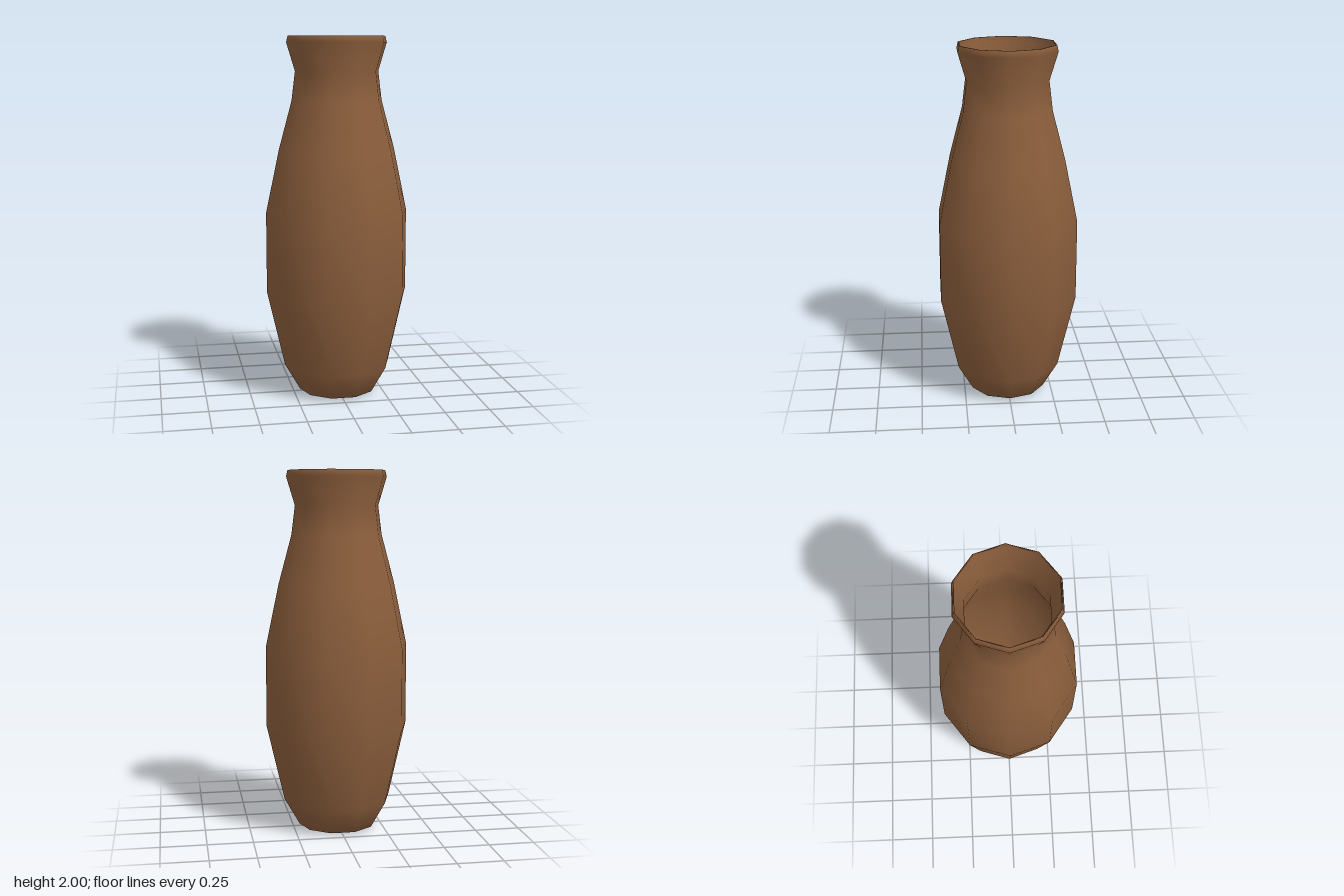
import * as THREE from 'three';

const SIDES = 10;

// Smooth ten-sided turning with a corner on the +x axis
function turned(name, points, material) {
  const profile = points.map(([r, y]) => new THREE.Vector2(r, y));
  const mesh = new THREE.Mesh(new THREE.LatheGeometry(profile, SIDES, Math.PI / 2), material);
  mesh.name = name;
  return mesh;
}

export function createModel() {
  const group = new THREE.Group();
  group.name = 'vase';
  const clay = new THREE.MeshStandardMaterial({ color: 0x8b5e3c });
  clay.name = 'brown clay';

  // Outer wall, from the underside up to the flared rim
  const outer = [
    [0, 0], [0.17, 0], [0.215, 0.012], [0.3, 0.16], [0.398, 0.585], [0.398, 1.035],
    [0.325, 1.38], [0.252, 1.65], [0.232, 1.81], [0.279, 1.965], [0.271, 2],
  ];
  // Flat lip, then the inner wall down to the floor
  const inner = [
    [0.264, 2], [0.268, 1.965], [0.222, 1.81], [0.242, 1.65], [0.315, 1.38],
    [0.387, 1.035], [0.387, 0.585], [0.29, 0.165], [0.21, 0.03], [0.17, 0.02], [0, 0.02],
  ];
  group.add(turned('vaseBody', [...outer, ...inner], clay));
  return group;
}
